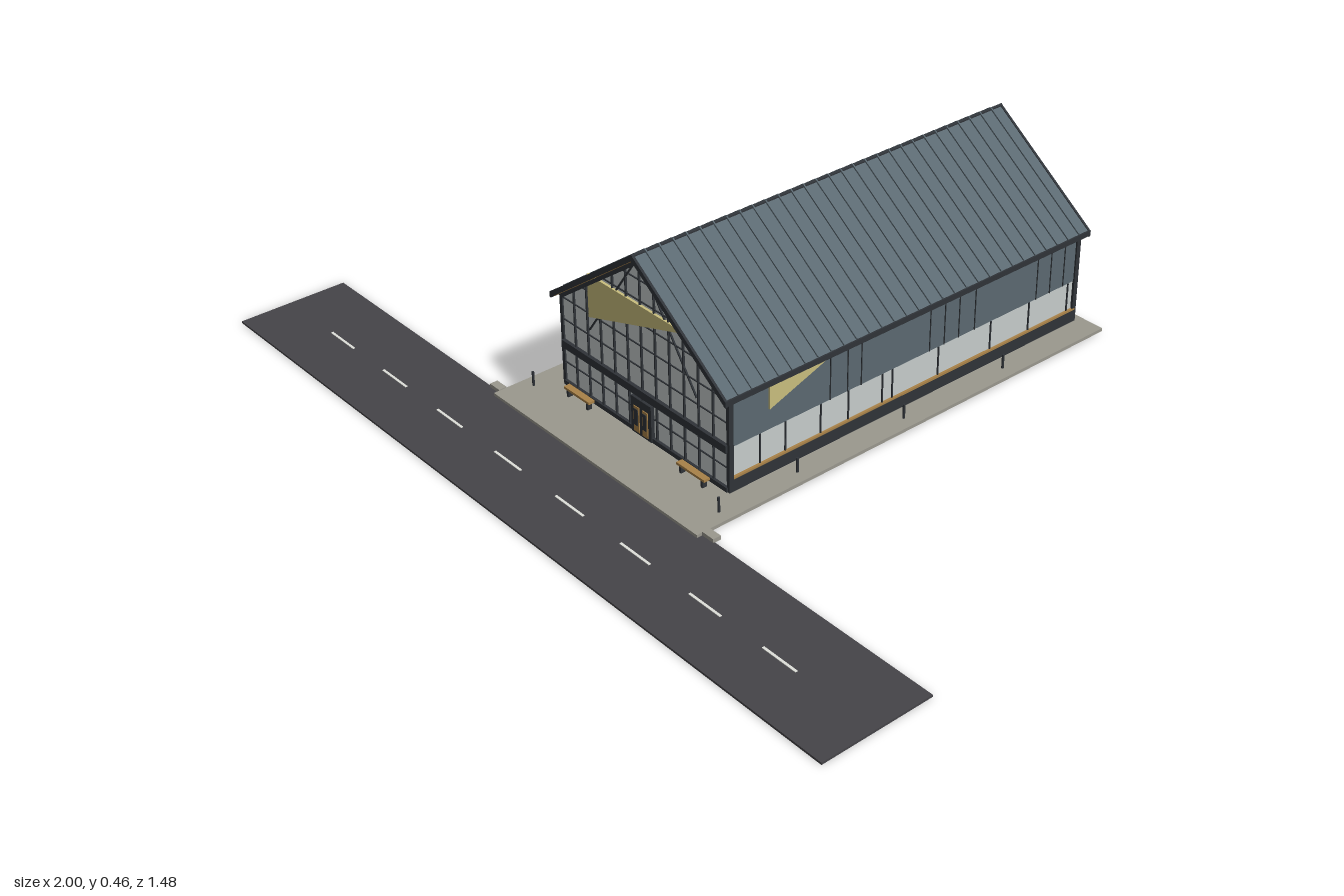
import * as THREE from 'three';

const mat = (name, color) => Object.assign(new THREE.MeshStandardMaterial({ color }), { name });

export function createModel() {
  const M = {
    asphalt: mat('asphalt', 0x454448),
    paving: mat('paving', 0x9a988e),
    glass: mat('pale glass', 0xc6cccb),
    slate: mat('slate blue', 0x5b6971),
    dark: mat('dark metal', 0x2f3338),
    wood: mat('wood', 0xa98248),
    yellow: mat('yellow', 0xc9be7e),
    white: mat('road paint', 0xdfe0da),
  };
  const model = new THREE.Group();
  model.name = 'hall';
  const add = (name, geo, m, parent = model) => {
    const mesh = new THREE.Mesh(geo, m);
    mesh.name = name;
    parent.add(mesh);
    return mesh;
  };
  // Box given by its limits on each axis
  const box = (name, m, x0, x1, y0, y1, z0, z1, parent) => {
    const b = add(name, new THREE.BoxGeometry(x1 - x0, y1 - y0, z1 - z0), m, parent);
    b.position.set((x0 + x1) / 2, (y0 + y1) / 2, (z0 + z1) / 2);
    return b;
  };
  // Outline in x, y pushed along z
  const prism = (name, m, pts, z0, z1, parent) => {
    const shape = new THREE.Shape(pts.map(p => new THREE.Vector2(...p)));
    const geo = new THREE.ExtrudeGeometry(shape, { depth: z1 - z0, bevelEnabled: false });
    return add(name, geo.translate(0, 0, z0), m, parent);
  };
  // Square bar between two points in a plane of constant z
  const bar = (name, m, [ax, ay], [bx, by], z, w, d, parent) => {
    const b = add(name, new THREE.BoxGeometry(Math.hypot(bx - ax, by - ay), w, d), m, parent);
    b.position.set((ax + bx) / 2, (ay + by) / 2, z);
    b.rotation.z = Math.atan2(by - ay, bx - ax);
    return b;
  };

  const FRONT = 0.333, BACK = -0.715, SIDE = 0.278, FLOOR = 0.012;
  const slope = 0.215 / 0.295;
  const under = x => 0.445 - slope * Math.abs(x);       // gable height at x
  const reach = y => Math.min(SIDE, (0.445 - y) / slope); // gable half-width at y

  // Road, dashes, forecourt and kerbs
  box('road', M.asphalt, -1, 1, 0, 0.005, 0.462, 0.737);
  for (let i = 0; i < 8; i++) {
    const x = -0.77 + i * 0.216;
    box('roadDash', M.white, x - 0.047, x + 0.047, 0.004, 0.0065, 0.603, 0.609);
  }
  box('forecourt', M.paving, -0.35, 0.35, 0.004, FLOOR, -0.74, 0.48);
  for (const s of [-1, 1]) {
    const kerb = box('kerb', M.paving, -0.0175, 0.0175, 0.004, 0.014, 0.446, 0.466);
    kerb.position.x = s * 0.367;
  }

  // Glazed hall
  prism('hallWalls', M.glass, [[-SIDE, FLOOR], [SIDE, FLOOR], [SIDE, under(SIDE)], [0, 0.445], [-SIDE, under(SIDE)]], BACK, FRONT);

  // Front facade: mullions, rails, raked frame and braces
  const front = new THREE.Group();
  front.name = 'frontFacade';
  model.add(front);
  for (let i = -5; i <= 5; i++) {
    const x = i * 0.0465;
    box('frontMullion', M.dark, x - 0.0015, x + 0.0015, FLOOR, under(x), FRONT, FRONT + 0.005, front);
  }
  for (const y of [0.07, 0.18, 0.235, 0.29, 0.345, 0.395]) {
    box('frontRail', M.dark, -reach(y), reach(y), y - 0.001, y + 0.001, FRONT, FRONT + 0.003, front);
  }
  box('frontBand', M.dark, -SIDE, SIDE, 0.109, 0.128, FRONT, FRONT + 0.009, front);
  box('frontSill', M.dark, -SIDE, SIDE, FLOOR, 0.023, FRONT, FRONT + 0.007, front);
  for (const s of [-1, 1]) {
    bar('rakeFrame', M.dark, [0, 0.44], [s * SIDE, under(SIDE) - 0.005], FRONT + 0.003, 0.009, 0.008, front);
    bar('brace', M.dark, [s * 0.015, 0.43], [s * 0.18, 0.195], FRONT + 0.002, 0.003, 0.004, front);
  }
  prism('frontYellowPanel', M.yellow, [[-0.176, 0.337], [-0.176, 0.23], [0.155, 0.337]], FRONT, FRONT + 0.0065, front);

  // Entrance
  const door = new THREE.Group();
  door.name = 'entrance';
  model.add(door);
  box('doorFrame', M.dark, -0.034, 0.034, FLOOR, 0.102, FRONT, FRONT + 0.009, door);
  for (const s of [-1, 1]) {
    const leaf = box('doorLeaf', M.wood, -0.009, 0.009, 0.018, 0.082, FRONT, FRONT + 0.011, door);
    leaf.position.x = s * 0.0145;
    const pane = box('doorPane', M.dark, -0.006, 0.006, 0.035, 0.076, FRONT, FRONT + 0.0125, door);
    pane.position.x = s * 0.0145;
  }

  // Back wall: posts and fine rails
  for (const x of [-0.165, -0.055, 0.055, 0.165]) {
    box('backPost', M.dark, x - 0.002, x + 0.002, FLOOR, under(x), BACK - 0.005, BACK);
  }
  for (let y = 0.06; y < 0.42; y += 0.046) {
    box('backRail', M.dark, -reach(y), reach(y), y - 0.0008, y + 0.0008, BACK - 0.002, BACK);
  }

  // Long side walls, mirrored
  const upper = [0.055, 0.005, -0.035, -0.24, -0.285, -0.33, -0.38, -0.58, -0.625, -0.67];
  const lower = [0.25, 0.18, 0.08, 0, -0.1, -0.13, -0.27, -0.435, -0.56, -0.69];
  for (const s of [-1, 1]) {
    const side = new THREE.Group();
    side.name = s > 0 ? 'leftSide' : 'rightSide';
    model.add(side);
    const plate = (name, m, y0, y1, z0, z1, out) => {
      const a = s * (SIDE - 0.003), b = s * (SIDE + out);
      return box(name, m, Math.min(a, b), Math.max(a, b), y0, y1, z0, z1, side);
    };
    plate('upperCladding', M.slate, 0.12, 0.241, BACK, FRONT, 0.002);
    plate('plinth', M.dark, FLOOR, 0.042, BACK, FRONT, 0.006);
    plate('woodSill', M.wood, 0.042, 0.047, BACK, FRONT, 0.006);
    for (const z of upper) plate('claddingJoint', M.dark, 0.12, 0.24, z - 0.001, z + 0.001, 0.004);
    for (const z of lower) plate('windowMullion', M.dark, 0.047, 0.12, z - 0.0015, z + 0.0015, 0.003);
    for (const z of [FRONT - 0.002, BACK + 0.002]) {
      plate('cornerPost', M.dark, FLOOR, 0.24, z - 0.006, z + 0.006, 0.006);
    }
    plate('eaveBeam', M.dark, 0.232, 0.241, BACK, FRONT, 0.008);

    // Bench and bollards
    const bench = box('bench', M.wood, -0.045, 0.045, 0.03, 0.036, 0.353, 0.369);
    bench.position.x = s * 0.195;
    for (const dx of [-0.035, 0.035]) {
      const leg = box('benchLeg', M.dark, -0.003, 0.003, FLOOR, 0.03, 0.355, 0.367);
      leg.position.x = s * 0.195 + dx;
    }
    for (const z of [0.395, 0.18, -0.13, -0.44]) {
      const post = add('bollard', new THREE.CylinderGeometry(0.003, 0.003, 0.036, 8), M.dark);
      post.position.set(s * 0.318, FLOOR + 0.018, z);
    }
  }
  prism('sideYellowPanel', M.yellow, [[-0.227, 0.227], [-0.227, 0.171], [-0.068, 0.227]], 0, 0.006)
    .rotateY(Math.PI / 2).position.x = SIDE;

  // Roof: chevron layers, dark edges, standing seams
  const chevron = (top, thick, w) => [
    [0, top], [w, top - slope * w], [w, top - thick - slope * w],
    [0, top - thick], [-w, top - thick - slope * w], [-w, top - slope * w],
  ];
  const R0 = -0.737, R1 = 0.355;
  prism('roof', M.slate, chevron(0.46, 0.011, 0.291), R0 + 0.004, R1 - 0.004);
  prism('soffit', M.wood, chevron(0.449, 0.003, 0.289), R0 + 0.006, R1 - 0.006);
  prism('frontVerge', M.dark, chevron(0.462, 0.015, 0.294), R1 - 0.006, R1);
  prism('backVerge', M.dark, chevron(0.462, 0.015, 0.294), R0, R0 + 0.006);
  prism('ridgeCap', M.dark, chevron(0.463, 0.005, 0.004), R0, R1);
  for (const s of [-1, 1]) {
    const gutter = box('gutter', M.dark, -0.003, 0.003, 0.235, 0.248, R0, R1);
    gutter.position.x = s * 0.292;
    for (let i = 1; i < 30; i++) {
      const z = R0 + (R1 - R0) * i / 30;
      bar('roofSeam', M.slate, [0, 0.461], [s * 0.291, 0.461 - slope * 0.291], z, 0.006, 0.003);
    }
  }
  return model;
}
